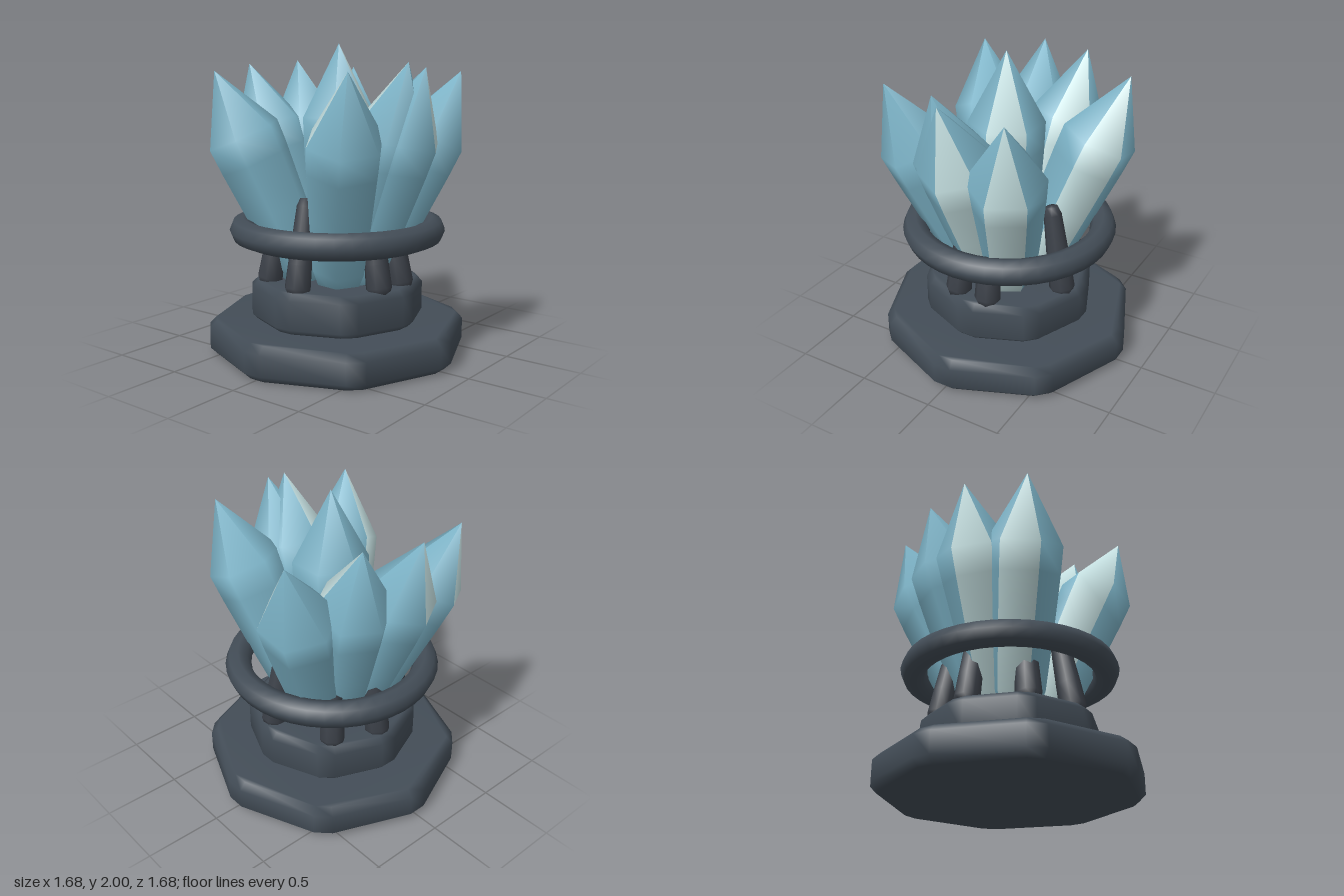
import * as THREE from 'three';
import { mergeVertices } from 'three/addons/utils/BufferGeometryUtils.js';

const stone = new THREE.MeshStandardMaterial({ color: 0x434d57 });
stone.name = 'slate stone';
const claw = new THREE.MeshStandardMaterial({ color: 0x3c4149 });
claw.name = 'dark claw';
const blue = new THREE.MeshStandardMaterial({ color: 0x7db4c8 });
blue.name = 'crystal blue';
const pale = new THREE.MeshStandardMaterial({ color: 0xc4dfe0 });
pale.name = 'pale crystal facet';

const UP = new THREE.Vector3(0, 1, 0);
const vec = (x, y, z) => new THREE.Vector3(x, y, z);

// Bevelled octagonal slab with clipped corners and softened normals
function slab(name, radius, clip, y0, y1, bevel) {
  const pts = [];
  for (let k = 0; k < 8; k++) {
    for (const s of [-1, 1]) {
      const a = (k * Math.PI) / 4 + s * clip;
      pts.push(new THREE.Vector2(Math.cos(a) * radius, Math.sin(a) * radius));
    }
  }
  let geo = new THREE.ExtrudeGeometry(new THREE.Shape(pts), {
    depth: y1 - y0 - 2 * bevel,
    bevelThickness: bevel,
    bevelSize: bevel,
    bevelOffset: -bevel,
    bevelSegments: 1,
  });
  geo.rotateX(-Math.PI / 2).translate(0, y0 + bevel, 0);
  geo.deleteAttribute('uv');
  geo.deleteAttribute('normal');
  geo = mergeVertices(geo, 1e-4);
  geo.computeVertexNormals();
  const mesh = new THREE.Mesh(geo, stone);
  mesh.name = name;
  return mesh;
}

// Stand a y-up mesh between two points
function aim(mesh, from, to) {
  mesh.position.copy(from);
  mesh.quaternion.setFromUnitVectors(UP, to.clone().sub(from).normalize());
  return mesh;
}

// Six-sided crystal with one pale facet running from root to tip
function crystal(from, tip, flip) {
  const len = from.distanceTo(tip);
  const profile = [
    [0, 0], [0.14, 0], [0.185, 0.1], [0.215, 0.35], [0.238, 0.58], [0.245, 0.7], [0, 1],
  ].map(([r, t]) => new THREE.Vector2(r, t * len));
  const geo = new THREE.LatheGeometry(profile, 6, flip ? Math.PI : 0);
  const perSide = geo.index.count / 6;
  geo.addGroup(0, perSide, 1);
  geo.addGroup(perSide, perSide * 5, 0);
  const mesh = new THREE.Mesh(geo, [blue, pale]);
  mesh.name = 'crystal';
  return aim(mesh, from, tip);
}

export function createModel() {
  const model = new THREE.Group();
  model.name = 'crystalCluster';

  // Stepped pedestal
  model.add(slab('base', 0.842, 0.071, 0, 0.225, 0.045));
  model.add(slab('upperTier', 0.563, 0.1, 0.22, 0.485, 0.04));

  // Binding ring
  const ring = new THREE.Mesh(new THREE.TorusGeometry(0.617, 0.085, 8, 40), stone);
  ring.name = 'ring';
  ring.rotation.x = Math.PI / 2;
  ring.position.y = 0.813;
  model.add(ring);

  // Claws leaning in from the upper tier
  const claws = new THREE.Group();
  claws.name = 'claws';
  const clawProfile = [
    [0, 0], [0.06, 0], [0.084, 0.05], [0.078, 0.2], [0.058, 0.56], [0.04, 0.61], [0, 0.615],
  ].map(([r, y]) => new THREE.Vector2(r, y));
  const clawGeo = new THREE.LatheGeometry(clawProfile, 8, Math.PI / 8);
  for (const degrees of [80, 12, -17, -86, -131, 180, 139]) {
    const a = THREE.MathUtils.degToRad(degrees);
    const at = (r, y) => vec(Math.sin(a) * r, y, Math.cos(a) * r);
    const mesh = new THREE.Mesh(clawGeo, claw);
    mesh.name = 'claw';
    claws.add(aim(mesh, at(0.455, 0.45), at(0.345, 1.06)));
  }
  model.add(claws);

  // Crystals: one upright, eight splayed; the flag turns the pale facet round
  const crystals = new THREE.Group();
  crystals.name = 'crystals';
  crystals.add(crystal(vec(-0.01, 0.46, 0.02), vec(-0.01, 2, 0.02), false));
  const tips = [
    [-0.57, 1.84, 0.51, true],
    [-0.14, 1.89, 0.63, true],
    [-0.06, 1.86, 0.7, false],
    [0.37, 1.83, 0.69, false],
    [0.65, 1.84, -0.35, false],
    [0.26, 1.89, -0.55, false],
    [-0.11, 1.87, -0.66, true],
    [-0.53, 1.83, -0.57, true],
  ];
  for (const [x, y, z, flip] of tips) {
    crystals.add(crystal(vec(x * 0.23, 0.48, z * 0.23), vec(x, y, z), flip));
  }
  model.add(crystals);

  return model;
}
